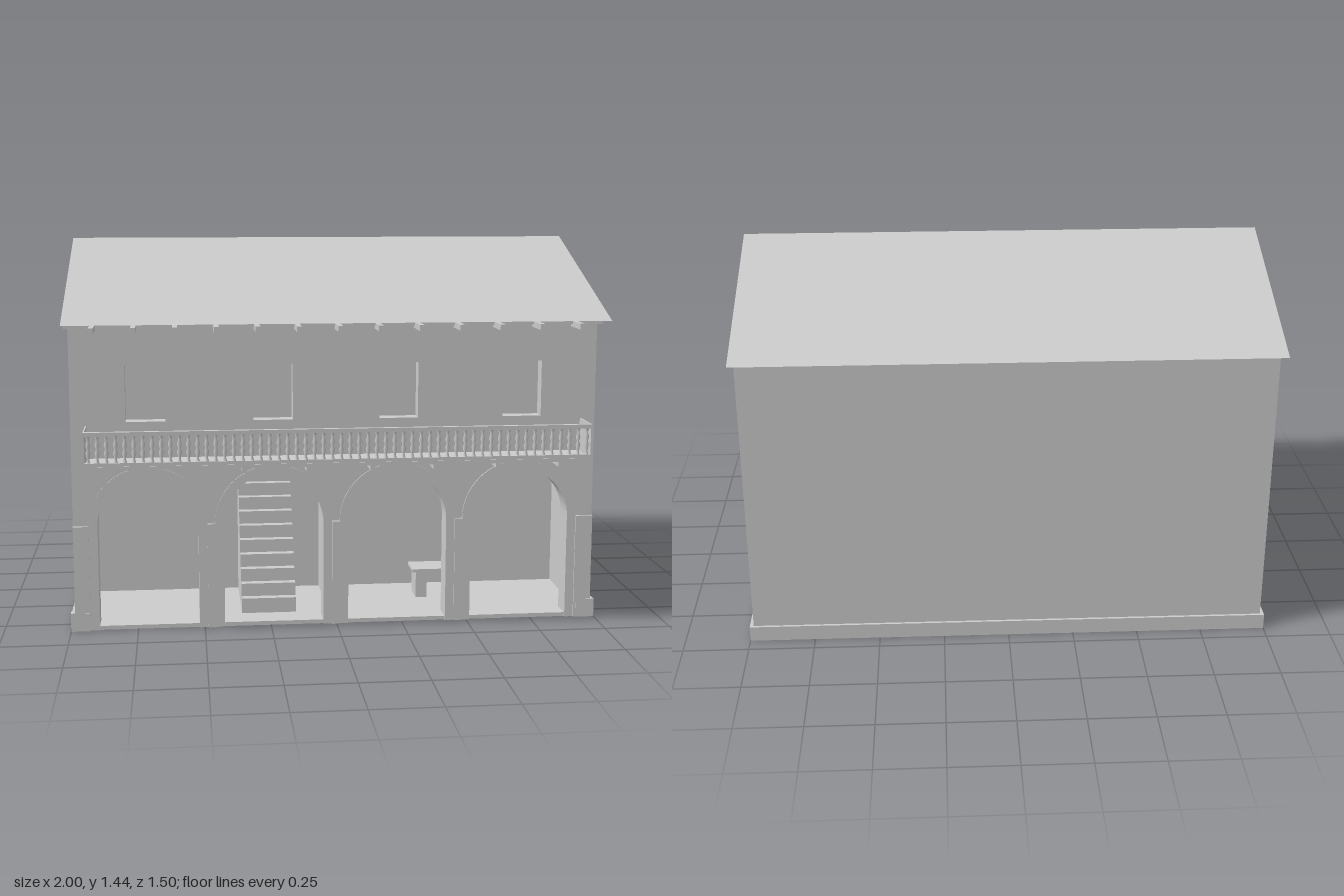
import * as THREE from 'three';

const plaster = new THREE.MeshStandardMaterial({ color: 0xcccccc, side: THREE.DoubleSide });
plaster.name = 'pale grey plaster';

const ARCHES = [-0.707, -0.238, 0.231, 0.7];
const WINDOWS = [-0.71, -0.238, 0.233, 0.703];
const SPRING = 0.4, INNER = 0.187, OUTER = 0.22;
const FRONT = 0.58, BACK = -0.68, HALF = 0.985;

export function createModel() {
  const house = new THREE.Group();
  house.name = 'arcadedHouse';

  const add = (name, geometry, parent = house) => {
    const mesh = new THREE.Mesh(geometry, plaster);
    mesh.name = name;
    parent.add(mesh);
    return mesh;
  };
  // Box given by its limits on each axis
  const box = (name, x0, x1, y0, y1, z0, z1, parent) => {
    const mesh = add(name, new THREE.BoxGeometry(x1 - x0, y1 - y0, z1 - z0), parent);
    mesh.position.set((x0 + x1) / 2, (y0 + y1) / 2, (z0 + z1) / 2);
    return mesh;
  };
  const group = (name) => {
    const g = new THREE.Group();
    g.name = name;
    house.add(g);
    return g;
  };
  const extrude = (name, shape, z0, z1, parent) => {
    const geometry = new THREE.ExtrudeGeometry(shape, { depth: z1 - z0, bevelEnabled: false, curveSegments: 16 });
    return add(name, geometry.translate(0, 0, z0), parent);
  };

  // Front wall with four arches cut up from the ground and four window holes
  const wall = new THREE.Shape();
  wall.moveTo(-HALF, 0);
  for (const c of ARCHES) {
    wall.lineTo(c - OUTER, 0);
    wall.lineTo(c - OUTER, SPRING);
    wall.absarc(c, SPRING, OUTER, Math.PI, 0, true);
    wall.lineTo(c + OUTER, 0);
  }
  wall.lineTo(HALF, 0);
  wall.lineTo(HALF, 1.16);
  wall.lineTo(-HALF, 1.16);
  wall.closePath();
  for (const c of WINDOWS) {
    const hole = new THREE.Path();
    hole.moveTo(c - 0.073, 0.79);
    hole.lineTo(c - 0.073, 1.0);
    hole.lineTo(c + 0.073, 1.0);
    hole.lineTo(c + 0.073, 0.79);
    hole.closePath();
    wall.holes.push(hole);
  }
  extrude('frontWall', wall, 0.5, FRONT);
  for (const c of WINDOWS) box('windowPane', c - 0.08, c + 0.08, 0.78, 1.01, 0.52, 0.525);

  // Arch surrounds and thresholds
  const surrounds = group('archSurrounds');
  for (const c of ARCHES) {
    const ring = new THREE.Shape();
    ring.moveTo(c - OUTER, 0);
    ring.lineTo(c - INNER, 0);
    ring.lineTo(c - INNER, SPRING);
    ring.absarc(c, SPRING, INNER, Math.PI, 0, true);
    ring.lineTo(c + INNER, 0);
    ring.lineTo(c + OUTER, 0);
    ring.lineTo(c + OUTER, SPRING);
    ring.absarc(c, SPRING, OUTER, 0, Math.PI, false);
    ring.closePath();
    extrude('archSurround', ring, 0.495, 0.586, surrounds);
    box('threshold', c - INNER, c + INNER, 0, 0.015, 0.52, FRONT, surrounds);
  }

  // Piers between the arches and at the corners
  const edges = [-HALF, ...ARCHES.flatMap((c) => [c - OUTER, c + OUTER]), HALF];
  for (let i = 0; i < edges.length; i += 2) {
    box('pier', edges[i], edges[i + 1], 0, SPRING, 0.55, 0.592);
  }

  // Gabled side walls
  const gable = new THREE.Shape();
  gable.moveTo(-FRONT, 0);
  gable.lineTo(-BACK, 0);
  gable.lineTo(-BACK, 1.16);
  gable.lineTo(0.052, 1.44);
  gable.lineTo(-FRONT, 1.16);
  gable.closePath();
  for (const x0 of [-HALF, HALF - 0.03]) {
    const side = extrude('gableWall', gable, 0, 0.03);
    side.rotation.y = Math.PI / 2;
    side.position.x = x0;
  }
  box('backWall', -HALF, HALF, 0, 1.16, BACK, BACK + 0.03);

  // Plinth around the sides and back, with blocks at the front corners
  const plinth = group('plinth');
  box('plinthBack', -1, 1, 0, 0.06, -0.69, -0.66, plinth);
  for (const s of [-1, 1]) {
    const a = s * 0.965, b = s;
    box('plinthSide', Math.min(a, b), Math.max(a, b), 0, 0.06, -0.69, 0.59, plinth);
    const c = s * 0.93;
    box('cornerBlock', Math.min(c, b), Math.max(c, b), 0, 0.07, 0.56, 0.594, plinth);
  }

  // Arcade interior
  box('floor', -0.955, 0.955, 0.002, 0.012, -0.645, 0.55);
  box('arcadeBackWall', -0.96, 0.96, 0.012, 0.62, 0.07, 0.1);
  box('partitionWall', -0.022, 0.016, 0.012, 0.62, 0.1, 0.5);
  box('ceiling', -0.96, 0.96, 0.6, 0.625, 0.1, 0.5);
  for (const x of [-0.69, 0.21, 0.745]) box('ceilingBeam', x - 0.01, x + 0.01, 0.57, 0.6, 0.1, 0.5);

  // Staircase rising towards the back wall
  const stairs = group('stairs');
  for (let i = 0; i < 11; i++) {
    box('step', -0.355, -0.145, 0.012, 0.07 + i * 0.05, 0.1, 0.46 - i * 0.033, stairs);
  }

  // Bench
  const bench = group('bench');
  box('benchTop', 0.335, 0.545, 0.118, 0.13, 0.2, 0.32, bench);
  box('benchLeg', 0.35, 0.395, 0.012, 0.118, 0.21, 0.31, bench);
  box('benchLeg', 0.485, 0.525, 0.012, 0.118, 0.21, 0.31, bench);

  // Balcony: brackets, slab, end panels, rails and balusters
  const balcony = group('balcony');
  for (let i = 0; i < 8; i++) {
    const x = -0.82 + i * 0.2343;
    box('bracket', x - 0.01, x + 0.01, 0.62, 0.642, FRONT, 0.725, balcony);
  }
  box('balconySlab', -0.93, 0.93, 0.642, 0.655, FRONT, 0.746, balcony);
  for (const x of [-0.93, 0.925]) box('endPanel', x, x + 0.005, 0.655, 0.78, 0.592, 0.744, balcony);
  box('topRail', -0.93, 0.93, 0.765, 0.78, 0.728, 0.744, balcony);
  box('bottomRail', -0.93, 0.93, 0.655, 0.668, 0.728, 0.744, balcony);
  const profile = [[0.008, 0], [0.004, 0.014], [0.009, 0.036], [0.004, 0.05], [0.009, 0.064], [0.004, 0.084], [0.008, 0.098]];
  const baluster = new THREE.LatheGeometry(profile.map(([r, y]) => new THREE.Vector2(r, y)), 8);
  for (let i = 0; i < 57; i++) {
    add('baluster', baluster, balcony).position.set(-0.912 + i * 0.03257, 0.667, 0.735);
  }

  // Eaves beam and rafter ends
  const eaves = group('eaves');
  box('eavesBeam', -1, 1, 1.138, 1.168, 0.577, 0.605, eaves);
  for (let i = 0; i < 13; i++) {
    const x = -0.895 + i * 0.149;
    box('rafterEnd', x - 0.009, x + 0.009, 1.128, 1.15, FRONT, 0.71, eaves);
  }

  // Thin roof slopes from the ridge to the overhanging eaves
  const slope = (name, z, y) => {
    const dz = z + 0.053, dy = y - 1.442;
    const geometry = new THREE.PlaneGeometry(2, Math.hypot(dz, dy));
    geometry.rotateX(-Math.PI / 2);
    if (dz < 0) geometry.rotateY(Math.PI);
    geometry.rotateX(Math.atan2(-dy, Math.abs(dz)) * Math.sign(dz));
    geometry.translate(0, (y + 1.442) / 2, (z - 0.053) / 2);
    add(name, geometry);
  };
  slope('frontRoofSlope', 0.718, 1.16);
  slope('backRoofSlope', -0.75, 1.163);

  return house;
}
